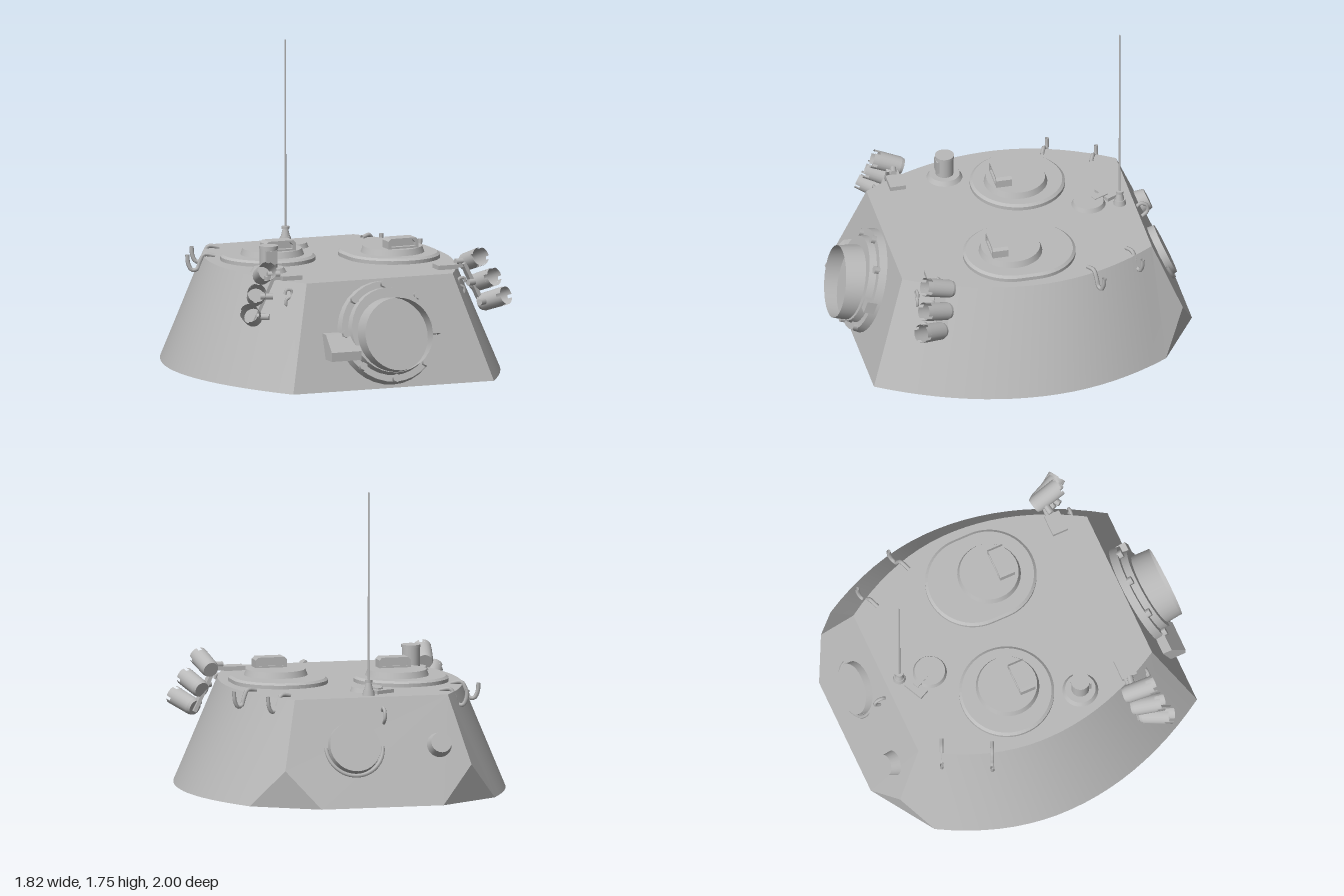
import * as THREE from 'three';

const steel = new THREE.MeshStandardMaterial({ color: 0xb9b9b9, side: THREE.DoubleSide });
steel.name = 'bare steel';
const V = (x, y, z) => new THREE.Vector3(x, y, z);

function add(parent, name, geo, x = 0, y = 0, z = 0) {
  const m = new THREE.Mesh(geo, steel);
  m.name = name;
  m.position.set(x, y, z);
  parent.add(m);
  return m;
}
function group(parent, name, x = 0, y = 0, z = 0) {
  const g = new THREE.Group();
  g.name = name;
  g.position.set(x, y, z);
  parent.add(g);
  return g;
}
const cyl = (rTop, rBottom, h, n = 32, open = false) => new THREE.CylinderGeometry(rTop, rBottom, h, n, 1, open);
const box = (w, h, d) => new THREE.BoxGeometry(w, h, d);
const tube = (pts, r, n = 20) => new THREE.TubeGeometry(new THREE.CatmullRomCurve3(pts), n, r, 6);

const TOP = 0.61, BASE = 0.025;

// Flat polygons, each cut into a fan of triangles
function facets(polys) {
  const pos = [];
  for (const p of polys)
    for (let i = 1; i < p.length - 1; i++)
      for (const v of [p[0], p[i], p[i + 1]]) pos.push(v.x, v.y, v.z);
  const g = new THREE.BufferGeometry();
  g.setAttribute('position', new THREE.Float32BufferAttribute(pos, 3));
  g.computeVertexNormals();
  return g;
}

// Hull outlines: two half parabolas meeting at the widest point
const bulge = (z, max, z0, kFront, kBack) => max - (z > z0 ? kFront : kBack) * (z - z0) ** 2;
function outline(s, top) {
  const pts = [];
  for (let i = 0; i <= 20; i++) {
    const t = i / 20;
    const z = top ? 0.675 - 1.425 * t : 0.875 - 1.645 * t;
    const x = top ? bulge(z, 0.665, -0.07, 0.405, 0.487) : bulge(z, 0.91, -0.06, 0.349, 0.409);
    pts.push(V(s * x, top ? TOP : BASE, z));
  }
  return pts;
}

function buildHull(root) {
  const hull = group(root, 'hull');
  const [tl, tr, bl, br] = [outline(1, true), outline(-1, true), outline(1, false), outline(-1, false)];
  const apex = s => V(s * 0.535, 0.235, -0.905), tail = s => V(s * 0.35, BASE, -1);
  const last = 20;

  add(hull, 'roof', facets([[...tl, ...[...tr].reverse()]]));
  add(hull, 'floor', facets([[...br, tail(-1), tail(1), ...[...bl].reverse()]]));
  add(hull, 'frontPlate', facets([[br[0], bl[0], tl[0], tr[0]]]));
  add(hull, 'rearPlate', facets([[tr[last], tl[last], apex(1), tail(1), tail(-1), apex(-1)]]));

  for (const s of [1, -1]) {
    const t = s > 0 ? tl : tr, b = s > 0 ? bl : br;
    const pos = [], idx = [];
    t.forEach((p, i) => {
      pos.push(...b[i].toArray(), ...p.toArray());
      if (i < last) {
        const a = 2 * i;
        idx.push(...(s > 0 ? [a, a + 2, a + 3, a, a + 3, a + 1] : [a, a + 3, a + 2, a, a + 1, a + 3]));
      }
    });
    const g = new THREE.BufferGeometry();
    g.setAttribute('position', new THREE.Float32BufferAttribute(pos, 3));
    g.setIndex(idx);
    g.computeVertexNormals();
    add(hull, 'curvedSide', g);
    const tris = [[t[last], b[last], apex(s)], [b[last], tail(s), apex(s)]];
    add(hull, 'rearCorner', facets(s > 0 ? tris : tris.map(p => p.reverse())));
  }
  add(hull, 'turretRing', cyl(0.59, 0.585, 0.04, 40), 0, 0.02, -0.01);
}

// Gun mount: bolted flange, collar and open sleeve
function buildGunMount(root) {
  const mount = group(root, 'gunMount', 0, 0.32, 0.774);
  mount.rotation.x = Math.PI / 2 - 0.33;
  add(mount, 'flange', cyl(0.285, 0.295, 0.05), 0, 0.02, 0);
  add(mount, 'collar', cyl(0.24, 0.252, 0.06), 0, 0.055, 0);
  for (let i = 0; i < 8; i++) {
    const a = i * Math.PI / 4;
    add(mount, 'bolt', cyl(0.024, 0.024, 0.03, 6), 0.268 * Math.cos(a), 0.055, 0.268 * Math.sin(a));
  }
  add(mount, 'sideLug', box(0.05, 0.06, 0.07), 0.268, 0.05, 0);
  const sleeve = add(root, 'gunSleeve', cyl(0.203, 0.217, 0.2, 32, true), 0, 0.32, 0.858);
  sleeve.rotation.x = Math.PI / 2 - 0.21;

  // Sight housing with a sloped top
  const s = new THREE.Shape([[0.74, 0.2], [0.905, 0.2], [0.905, 0.25], [0.82, 0.34], [0.74, 0.34]].map(p => new THREE.Vector2(-p[0], p[1])));
  const g = new THREE.ExtrudeGeometry(s, { depth: 0.18, bevelEnabled: false });
  add(root, 'sightHousing', g, -0.385, 0, 0).rotation.y = Math.PI / 2;
}

// Hatch: stadium-shaped collar, round lid and framed periscope
function buildHatch(root, x, zBack, zFront, lidX, px, pz) {
  const hatch = group(root, 'hatch');
  const r = 0.25;
  const s = new THREE.Shape();
  s.absarc(x, -zFront, r, Math.PI, 2 * Math.PI);
  s.absarc(x, -zBack, r, 0, Math.PI);
  const g = new THREE.ExtrudeGeometry(s, { depth: 0.02, bevelSize: 0.015, bevelThickness: 0.012, bevelSegments: 1, curveSegments: 16 });
  add(hatch, 'hatchCollar', g, 0, TOP, 0).rotation.x = -Math.PI / 2;
  add(hatch, 'hatchLid', cyl(0.165, 0.178, 0.036), lidX, 0.658, zFront + (x < 0 ? 0.015 : 0));

  const rect = (path, w, h, y) => path.moveTo(-w, y).lineTo(w, y).lineTo(w, y + h - 0.015)
    .lineTo(w - 0.015, y + h).lineTo(-w + 0.015, y + h).lineTo(-w, y + h - 0.015).closePath();
  const frame = rect(new THREE.Shape(), 0.09, 0.06, 0);
  frame.holes.push(rect(new THREE.Path(), 0.072, 0.036, 0.012));
  add(hatch, 'periscopeFrame', new THREE.ExtrudeGeometry(frame, { depth: 0.09, bevelEnabled: false }), px, 0.674, pz - 0.045);
  add(hatch, 'periscopeGlass', box(0.15, 0.04, 0.05), px, 0.704, pz - 0.01);
}

function buildRoofFittings(root) {
  // Panoramic sight
  const sight = group(root, 'roofSight', -0.48, TOP, 0.22);
  add(sight, 'sightBase', cyl(0.085, 0.1, 0.025), 0, 0.0125, 0);
  add(sight, 'sightBody', cyl(0.05, 0.05, 0.12, 20), 0, 0.08, 0);
  add(sight, 'sightCap', cyl(0.054, 0.054, 0.015, 20), 0, 0.14, 0);
  add(sight, 'sightWindow', box(0.065, 0.075, 0.02), 0, 0.085, 0.042);

  // Ventilator cover and hinge
  const vent = group(root, 'ventilator', -0.04, TOP, -0.5);
  add(vent, 'ventCover', cyl(0.085, 0.095, 0.025), 0, 0.0125, 0);
  const hinge = group(vent, 'ventHinge', -0.06, 0.012, -0.11);
  hinge.rotation.y = 0.45;
  add(hinge, 'hingePlate', box(0.12, 0.02, 0.06));
  add(hinge, 'hingeArm', box(0.035, 0.025, 0.09), 0.01, 0.005, 0.05);

  // Antenna
  const aerial = group(root, 'antenna', -0.005, TOP, -0.67);
  add(aerial, 'antennaBase', cyl(0.03, 0.036, 0.03, 12), 0, 0.015, 0);
  add(aerial, 'antennaSpring', cyl(0.014, 0.026, 0.05, 12), 0, 0.055, 0);
  add(aerial, 'antennaCollar', cyl(0.022, 0.022, 0.015, 12), 0, 0.08, 0);
  add(aerial, 'antennaRod', cyl(0.004, 0.006, 1.07, 8), 0, 0.605, 0);
}

function buildRear(root) {
  const plate = group(root, 'rearFittings', 0, 0.345, -0.863);
  plate.rotation.x = -(Math.PI / 2 - 0.404);
  add(plate, 'rearHatch', cyl(0.145, 0.15, 0.04), 0.13, 0.02, 0);
  const rim = add(plate, 'rearHatchRim', new THREE.TorusGeometry(0.163, 0.011, 6, 24, Math.PI), 0.13, 0.012, 0);
  rim.rotation.x = -Math.PI / 2;
  add(plate, 'rearPort', cyl(0.058, 0.072, 0.06, 20), -0.36, 0.025, 0);
  add(root, 'rearHook', tube([V(-0.055, 0.47, -0.81), V(-0.055, 0.5, -0.84), V(-0.055, 0.54, -0.835),
    V(-0.055, 0.555, -0.80), V(-0.055, 0.53, -0.77)], 0.01));
}

function buildSideFittings(root, s) {
  const side = group(root, s > 0 ? 'leftFittings' : 'rightFittings');

  // Lifting hooks along the roof edge
  for (const [x, z] of [[0.43, -0.605], [0.56, -0.355]]) {
    const path = [[0, 0.005], [0.06, 0.012], [0.085, -0.03], [0.1, -0.07], [0.13, -0.075], [0.15, -0.04], [0.155, 0.01]];
    add(side, 'liftingHook', tube(path.map(([u, y]) => V(s * (x + u * 0.92), TOP + y, z - u * 0.4)), 0.012));
  }
  // Curved hook on the forward side
  add(side, 'forwardHook', tube([[0.545, 0.545], [0.535, 0.57], [0.505, 0.565], [0.505, 0.535], [0.535, 0.515],
    [0.535, 0.485], [0.515, 0.48]].map(([x, y]) => V(s * x, y, 0.61)), 0.009));

  // Smoke launchers
  const rack = group(side, 'smokeLaunchers');
  add(rack, 'rackFoot', box(0.12, 0.025, 0.09), s * 0.47, TOP + 0.012, 0.5);
  add(rack, 'rackArm', box(0.1, 0.02, 0.05), s * 0.56, TOP + 0.012, 0.49);
  const arm = add(rack, 'rackPlate', box(0.02, 0.28, 0.06), s * 0.635, 0.51, 0.5);
  arm.rotation.z = s * 0.45;
  const tubes = [[0.63, 0.655, 0.52, 0.17], [0.69, 0.54, 0.545, 0.35], [0.735, 0.435, 0.58, 0.55]];
  for (const [x, y, z, yaw] of tubes) {
    const t = group(rack, 'launcher', s * x, y, z);
    t.rotation.order = 'YXZ';
    t.rotation.set(Math.PI / 2 - 0.33, s * yaw, 0);
    add(t, 'launcherTube', cyl(0.052, 0.05, 0.13, 20, true), 0, -0.015, 0);
    add(t, 'launcherBottom', cyl(0.05, 0.043, 0.025, 20), 0, -0.085, 0);
    // Notched muzzle made of four arcs
    for (let i = 0; i < 4; i++)
      add(t, 'muzzleLip', new THREE.CylinderGeometry(0.052, 0.052, 0.03, 5, 1, true, i * Math.PI / 2, 1.2), 0, 0.065, 0);
    const mountPin = add(t, 'launcherPin', cyl(0.018, 0.018, 0.07, 8), -s * 0.06, -0.04, 0);
    mountPin.rotation.z = Math.PI / 2;
  }
}

export function createModel() {
  const root = new THREE.Group();
  root.name = 'turret';
  buildHull(root);
  buildGunMount(root);
  buildHatch(root, -0.325, -0.16, -0.16, -0.305, -0.305, -0.06);
  buildHatch(root, 0.345, -0.065, 0.035, 0.345, 0.36, 0.115);
  buildRoofFittings(root);
  buildRear(root);
  for (const s of [1, -1]) buildSideFittings(root, s);
  return root;
}
